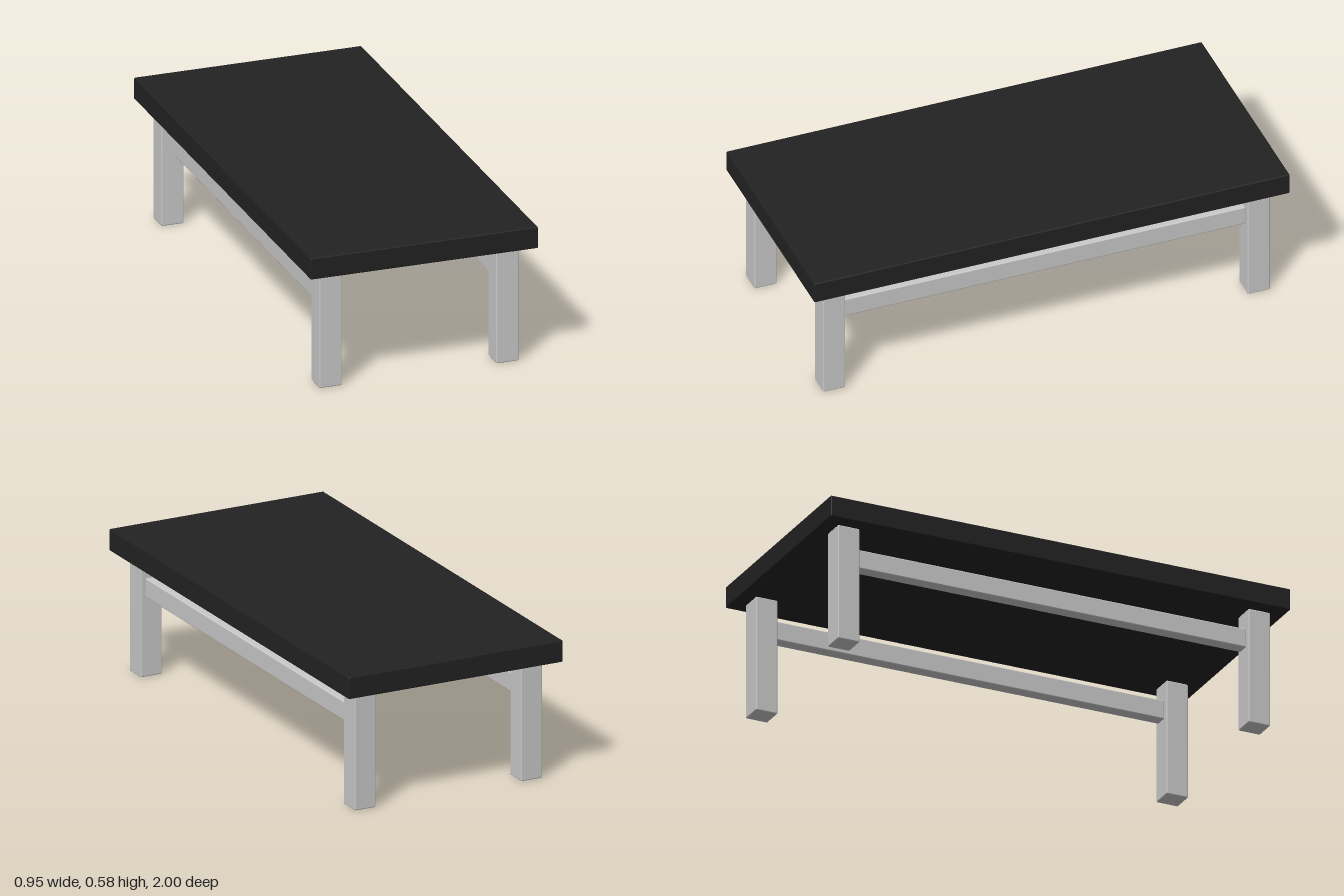
import * as THREE from 'three';
import { RoundedBoxGeometry } from 'three/addons/geometries/RoundedBoxGeometry.js';

export function createModel() {
  const table = new THREE.Group();
  table.name = 'table';

  const black = new THREE.MeshStandardMaterial({ color: 0x222222 });
  black.name = 'black top';
  const grey = new THREE.MeshStandardMaterial({ color: 0xc9c9c9 });
  grey.name = 'light grey frame';

  // Box with slightly eased edges, placed by its centre
  function addBlock(name, material, size, position) {
    const mesh = new THREE.Mesh(new RoundedBoxGeometry(...size, 2, 0.005), material);
    mesh.name = name;
    mesh.position.set(...position);
    table.add(mesh);
  }

  // Thick slab top
  addBlock('tabletop', black, [0.95, 0.09, 2], [0, 0.535, 0]);

  for (const [side, sx] of [['Left', 1], ['Right', -1]]) {
    // Square legs
    for (const [end, sz] of [['front', 1], ['back', -1]]) {
      addBlock(`${end}${side}Leg`, grey, [0.094, 0.49, 0.094], [sx * 0.369, 0.245, sz * 0.893]);
    }
    // Long rail between the legs on this side
    addBlock(`rail${side}`, grey, [0.054, 0.08, 1.692], [sx * 0.369, 0.37, 0]);
  }

  return table;
}
